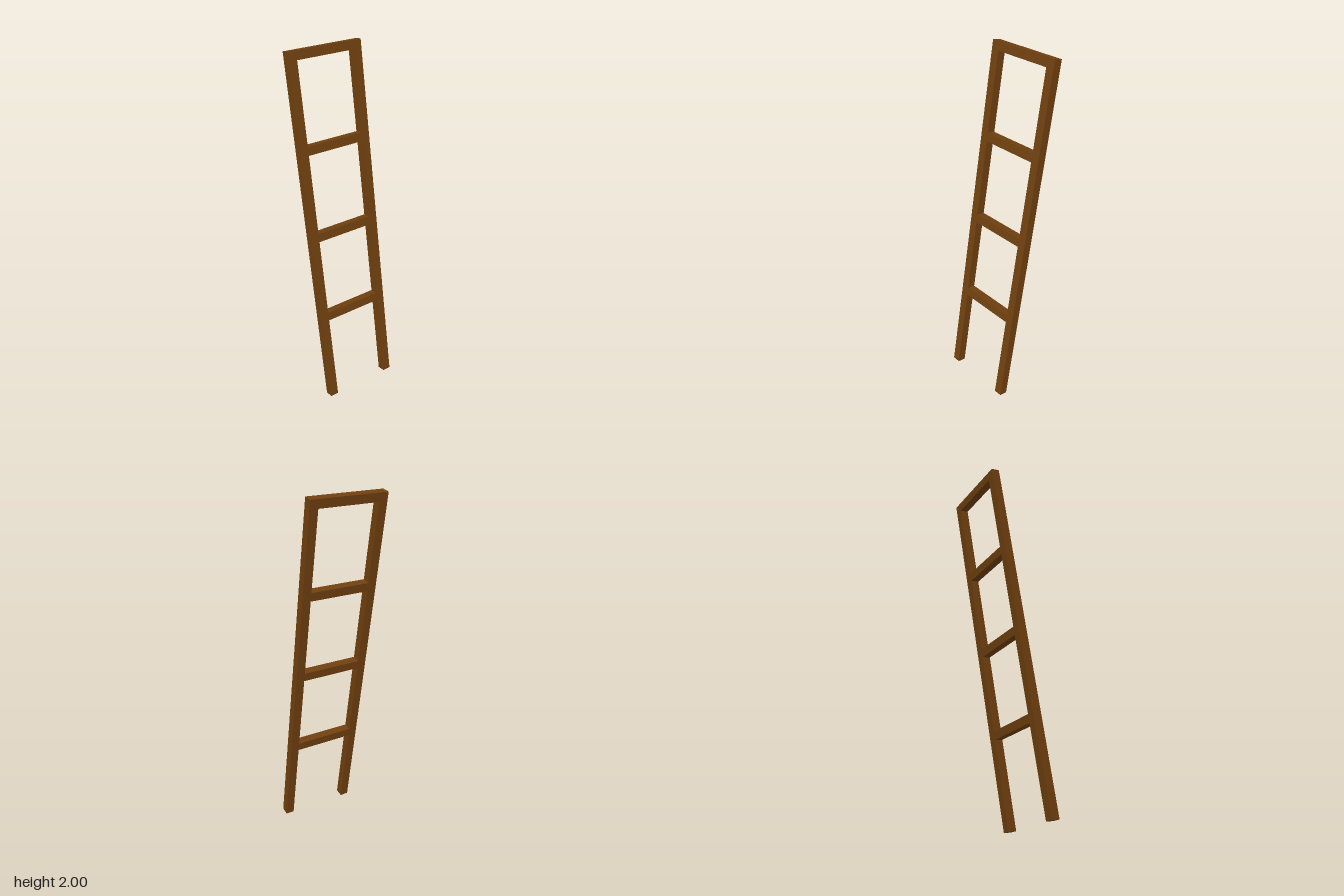
import * as THREE from 'three';

export function createModel() {
  const wood = new THREE.MeshStandardMaterial({ color: 0x70400f });
  const beam = 0.0484;      // square section of every beam
  const length = 2.0223;    // rail length along the slope
  const railZ = 0.198;      // rail centre from the middle
  const spacing = 0.4915;   // distance between rungs

  const ladder = new THREE.Group();
  ladder.name = 'ladder';

  const addBeam = (name, height, depth, y, z) => {
    const mesh = new THREE.Mesh(new THREE.BoxGeometry(beam, height, depth), wood);
    mesh.name = name;
    mesh.position.set(0, y, z);
    ladder.add(mesh);
  };

  // Two side rails
  addBeam('frontRail', length, beam, 0, railZ);
  addBeam('backRail', length, beam, 0, -railZ);

  // Four rungs, the highest flush with the rail tops
  for (let i = 0; i < 4; i++) {
    addBeam(`rung${i + 1}`, beam, 2 * railZ - beam, (length - beam) / 2 - i * spacing, 0);
  }

  // Lean the ladder towards -x, with its lowest corner on the ground
  ladder.rotation.z = THREE.MathUtils.degToRad(10);
  ladder.position.y = 1;

  const model = new THREE.Group();
  model.name = 'leaningLadder';
  model.add(ladder);
  return model;
}
